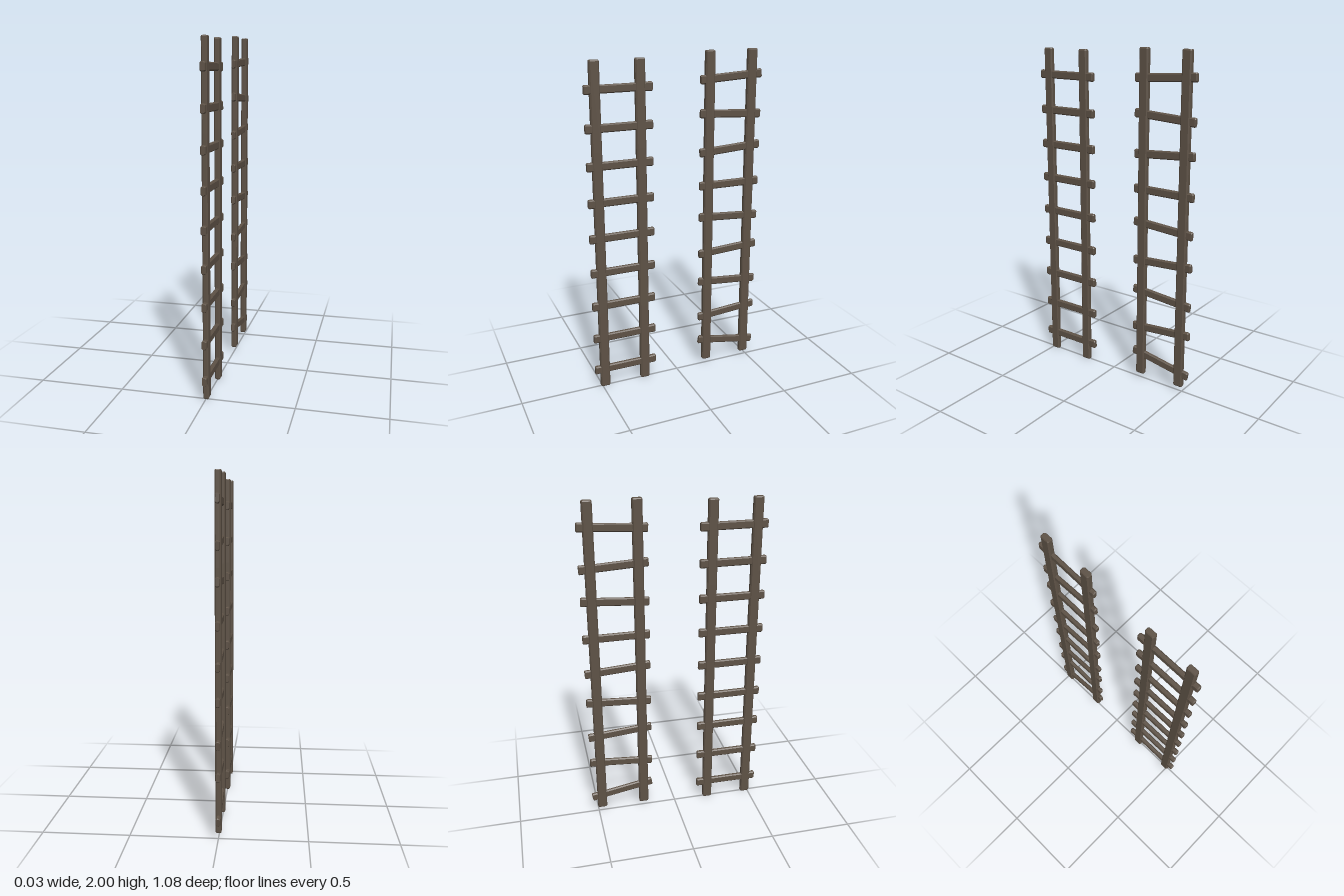
import * as THREE from 'three';

const wood = new THREE.MeshStandardMaterial({ color: 0x5e5246 });
wood.name = 'weathered wood';

// Chamfered timber along z: w across x, h across y, slimmed by `waist` mid-length
function timber(w, h, length, waist, name) {
  const c = 0.007, b = 0.006, x = w / 2, y = h / 2;
  const section = new THREE.Shape([
    [x, -y + c], [x, y - c], [x - c, y], [-x + c, y],
    [-x, y - c], [-x, -y + c], [-x + c, -y], [x - c, -y],
  ].map(([px, py]) => new THREE.Vector2(px, py)));
  const geometry = new THREE.ExtrudeGeometry(section, {
    depth: length - 2 * b, steps: 4,
    bevelEnabled: true, bevelSegments: 1, bevelThickness: b, bevelSize: b * 0.6, bevelOffset: -b * 0.6,
  });
  geometry.translate(0, 0, b - length / 2);
  const p = geometry.attributes.position;
  for (let i = 0; i < p.count; i++) {
    if (Math.abs(p.getZ(i)) < length * 0.3) {
      p.setXY(i, p.getX(i) * (1 - waist), p.getY(i) * (1 - waist));
    }
  }
  geometry.computeVertexNormals();
  const mesh = new THREE.Mesh(geometry, wood);
  mesh.name = name;
  return mesh;
}

// rails: z centres; rungs: [height at inner end, height at outer end]
function ladder({ name, bottom, top, rails, ends, railDepth, rungDepth, rungs }) {
  const group = new THREE.Group();
  group.name = name;
  for (const z of rails) {
    const rail = timber(railDepth, 0.058, top - bottom, 0, 'rail');
    rail.rotation.x = -Math.PI / 2;
    rail.position.set(0, (top + bottom) / 2, z);
    group.add(rail);
  }
  const [z0, z1] = ends;
  for (const [y0, y1] of rungs) {
    const rung = timber(rungDepth, 0.052, Math.abs(z1 - z0), 0.1, 'rung');
    rung.rotation.x = -Math.atan((y1 - y0) / (z1 - z0));
    rung.position.set(0, (y0 + y1) / 2, (z0 + z1) / 2);
    group.add(rung);
  }
  return group;
}

export function createModel() {
  const model = new THREE.Group();
  model.name = 'ladders';

  // Tidy ladder with level rungs
  model.add(ladder({
    name: 'straightLadder', bottom: 0, top: 1.975,
    rails: [0.22, 0.481], ends: [0.148, 0.543], railDepth: 0.032, rungDepth: 0.028,
    rungs: Array.from({ length: 9 }, (_, i) => [0.115 + i * 0.2131, 0.115 + i * 0.2131]),
  }));

  // Rickety ladder with tilted rungs
  model.add(ladder({
    name: 'crookedLadder', bottom: 0.033, top: 2,
    rails: [-0.206, -0.476], ends: [-0.148, -0.54], railDepth: 0.034, rungDepth: 0.025,
    rungs: [
      [0.178, 0.108], [0.34, 0.37], [0.585, 0.55], [0.77, 0.792], [1.01, 0.983],
      [1.207, 1.205], [1.41, 1.435], [1.643, 1.62], [1.836, 1.858],
    ],
  }));
  return model;
}
